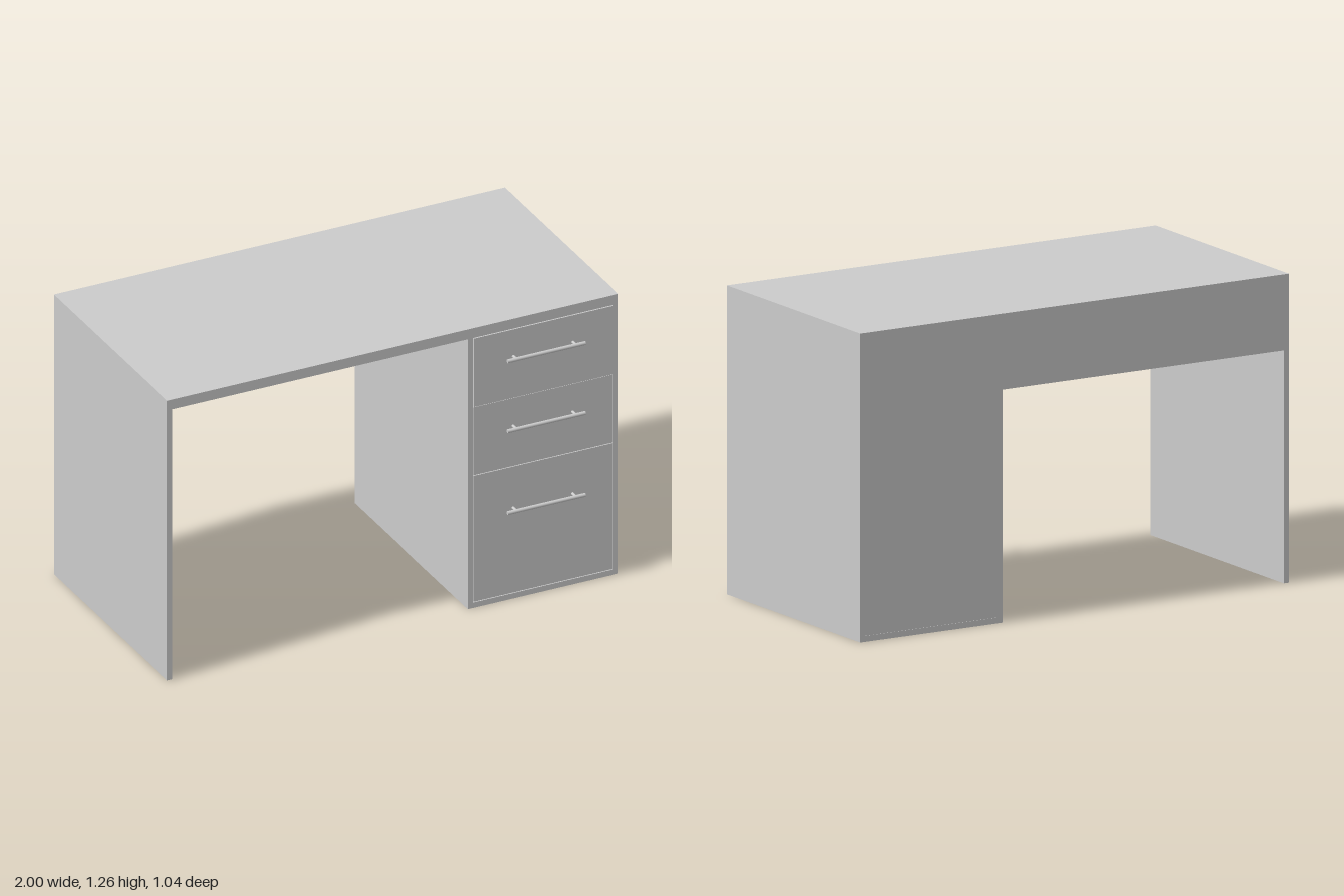
import * as THREE from 'three';

const material = new THREE.MeshStandardMaterial({ color: 0xcccccc });
const BACK = -0.52, FRONT = 0.48, T = 0.024, UNDER = 1.212;

// Box given by its two extreme corners
function board(name, [x0, y0, z0], [x1, y1, z1]) {
  const mesh = new THREE.Mesh(new THREE.BoxGeometry(x1 - x0, y1 - y0, z1 - z0), material);
  mesh.name = name;
  mesh.position.set((x0 + x1) / 2, (y0 + y1) / 2, (z0 + z1) / 2);
  return mesh;
}

// Round bar on two short posts
function handle(y) {
  const group = new THREE.Group();
  group.name = 'drawerHandle';
  const bar = new THREE.Mesh(new THREE.CylinderGeometry(0.008, 0.008, 0.344, 20), material);
  bar.name = 'handleBar';
  bar.rotation.z = Math.PI / 2;
  bar.position.z = 0.512;
  group.add(bar);
  for (const side of [-1, 1]) {
    const post = new THREE.Mesh(new THREE.CylinderGeometry(0.006, 0.006, 0.036, 16), material);
    post.name = 'handlePost';
    post.rotation.x = Math.PI / 2;
    post.position.set(side * 0.132, 0, 0.494);
    group.add(post);
  }
  group.position.set(0.664, y, 0);
  return group;
}

export function createModel() {
  const desk = new THREE.Group();
  desk.name = 'desk';

  // Worktop, end panel and modesty panel
  desk.add(
    board('worktop', [-1, UNDER, BACK], [1, 1.256, FRONT]),
    board('endPanel', [-1, 0, BACK], [-1 + T, UNDER, FRONT]),
    board('modestyPanel', [-1 + T, 0.947, BACK], [0.333, UNDER, BACK + T])
  );

  // Drawer cabinet carcass
  const cabinet = new THREE.Group();
  cabinet.name = 'drawerCabinet';
  const left = 0.333 + T, right = 1 - T;
  cabinet.add(
    board('cabinetInnerSide', [0.333, 0, BACK], [left, UNDER, FRONT]),
    board('cabinetOuterSide', [right, 0, BACK], [1, UNDER, FRONT]),
    board('cabinetBase', [left, 0, BACK], [right, T, FRONT]),
    board('cabinetTopRail', [left, UNDER - T, BACK], [right, UNDER, FRONT - T]),
    board('cabinetBack', [left, T, BACK + 0.002], [right, UNDER - T, BACK + T])
  );

  // Drawer fronts: bottom, top, front face and handle height
  const drawers = [
    [0.027, 0.592, FRONT, 0.408],
    [0.595, 0.9, FRONT, 0.776],
    [0.903, 1.21, FRONT + 0.003, 1.09],
  ];
  for (const [y0, y1, face, grip] of drawers) {
    const drawer = new THREE.Group();
    drawer.name = 'drawer';
    drawer.add(board('drawerFront', [left + 0.001, y0, FRONT - T], [right - 0.001, y1, face]), handle(grip));
    cabinet.add(drawer);
  }
  desk.add(cabinet);
  return desk;
}
